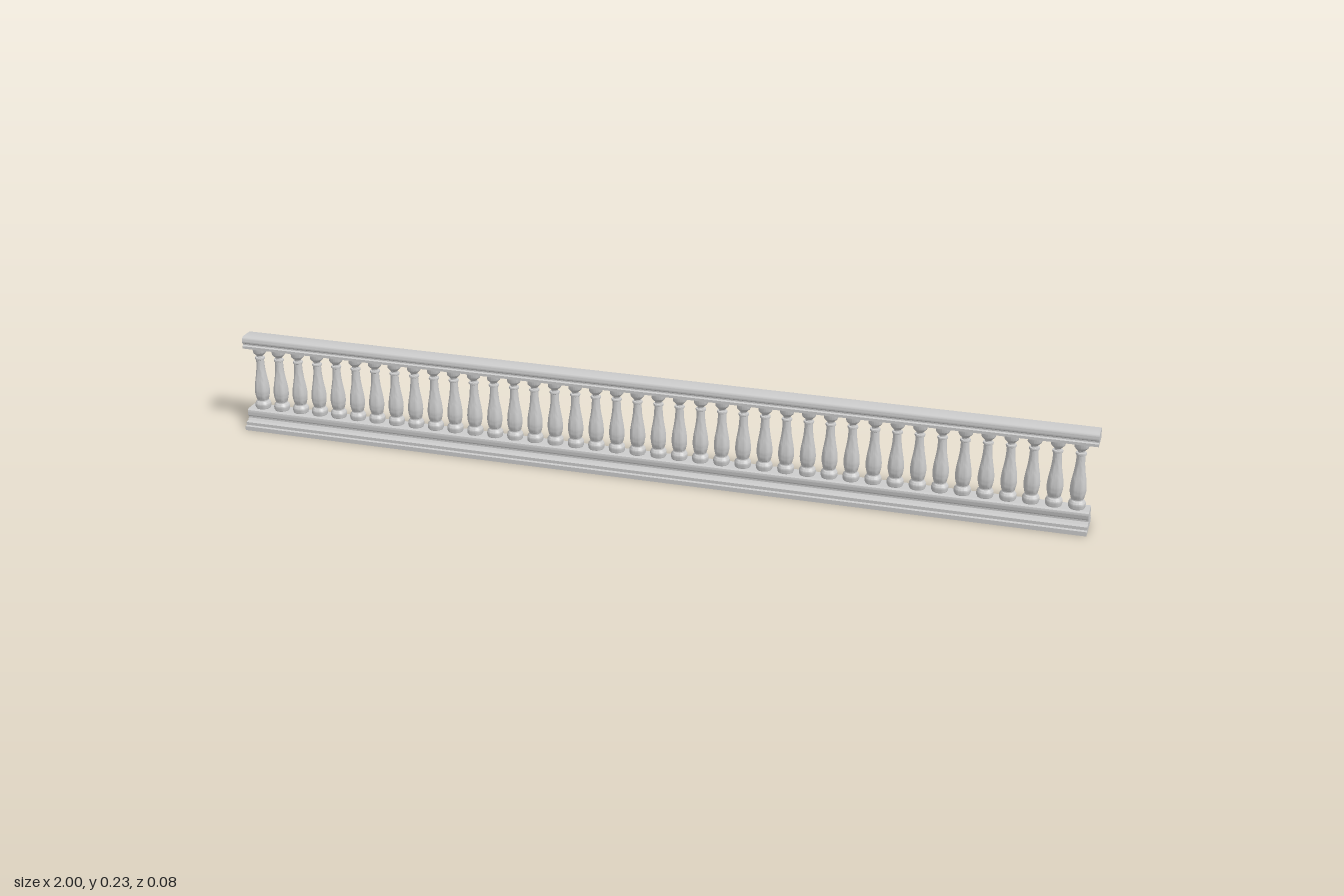
import * as THREE from 'three';
import { toCreasedNormals } from 'three/addons/utils/BufferGeometryUtils.js';

const material = new THREE.MeshStandardMaterial({ color: 0xcccccc });

// Moulding: half profile [half depth, height], mirrored and run along x
function moulding(name, half, x0, x1) {
  const right = half.map(([z, y]) => new THREE.Vector2(z, y));
  const left = half.map(([z, y]) => new THREE.Vector2(-z, y)).reverse();
  const shape = new THREE.Shape([...right, ...left]);
  const geometry = new THREE.ExtrudeGeometry(shape, { depth: x1 - x0, bevelEnabled: false });
  geometry.rotateY(Math.PI / 2).translate(x0, 0, 0);
  const mesh = new THREE.Mesh(toCreasedNormals(geometry, 0.6), material);
  mesh.name = name;
  return mesh;
}

// Turned baluster: foot cushion, vase-shaped shaft, collar and capital
function balusterGeometry() {
  const foot = [
    [0, 0.046], [0.016, 0.046], [0.0185, 0.051], [0.019, 0.056], [0.0185, 0.061],
    [0.016, 0.065], [0.0135, 0.067], [0.0135, 0.070],
  ];
  const shaft = new THREE.SplineCurve([
    [0.0145, 0.071], [0.0172, 0.083], [0.0178, 0.095], [0.0160, 0.112],
    [0.0125, 0.132], [0.0102, 0.150], [0.0092, 0.171],
  ].map(p => new THREE.Vector2(...p))).getPoints(12);
  const capital = [
    [0.0112, 0.172], [0.012, 0.1745], [0.0112, 0.177], [0.0075, 0.178], [0.0075, 0.181],
    [0.0105, 0.184], [0.0145, 0.188], [0.0155, 0.190], [0.0155, 0.204], [0, 0.204],
  ];
  const toVec = ([r, y]) => new THREE.Vector2(r, y);
  const points = [...foot.map(toVec), ...shaft, ...capital.map(toVec)];
  return toCreasedNormals(new THREE.LatheGeometry(points, 18), 0.7);
}

export function createModel() {
  const model = new THREE.Group();
  model.name = 'balustrade';

  // Stepped base
  model.add(moulding('base', [
    [0.040, 0], [0.040, 0.010], [0.033, 0.011], [0.033, 0.018], [0.024, 0.020],
    [0.020, 0.025], [0.020, 0.029], [0.023, 0.033], [0.0235, 0.040],
    [0.022, 0.045], [0.018, 0.048],
  ], -1, 0.992));

  // Handrail with rounded top and lower fillet
  model.add(moulding('handrail', [
    [0.0245, 0.203], [0.0245, 0.209], [0.020, 0.211], [0.020, 0.214], [0.0235, 0.217],
    [0.0245, 0.221], [0.0238, 0.226], [0.021, 0.230], [0.016, 0.232],
  ], -1, 1));

  // Row of balusters
  const geometry = balusterGeometry();
  const balusters = new THREE.Group();
  balusters.name = 'balusters';
  const count = 40, first = -0.969, last = 0.963;
  for (let i = 0; i < count; i++) {
    const baluster = new THREE.Mesh(geometry, material);
    baluster.name = `baluster${i + 1}`;
    baluster.position.x = first + (last - first) * i / (count - 1);
    balusters.add(baluster);
  }
  model.add(balusters);
  return model;
}
